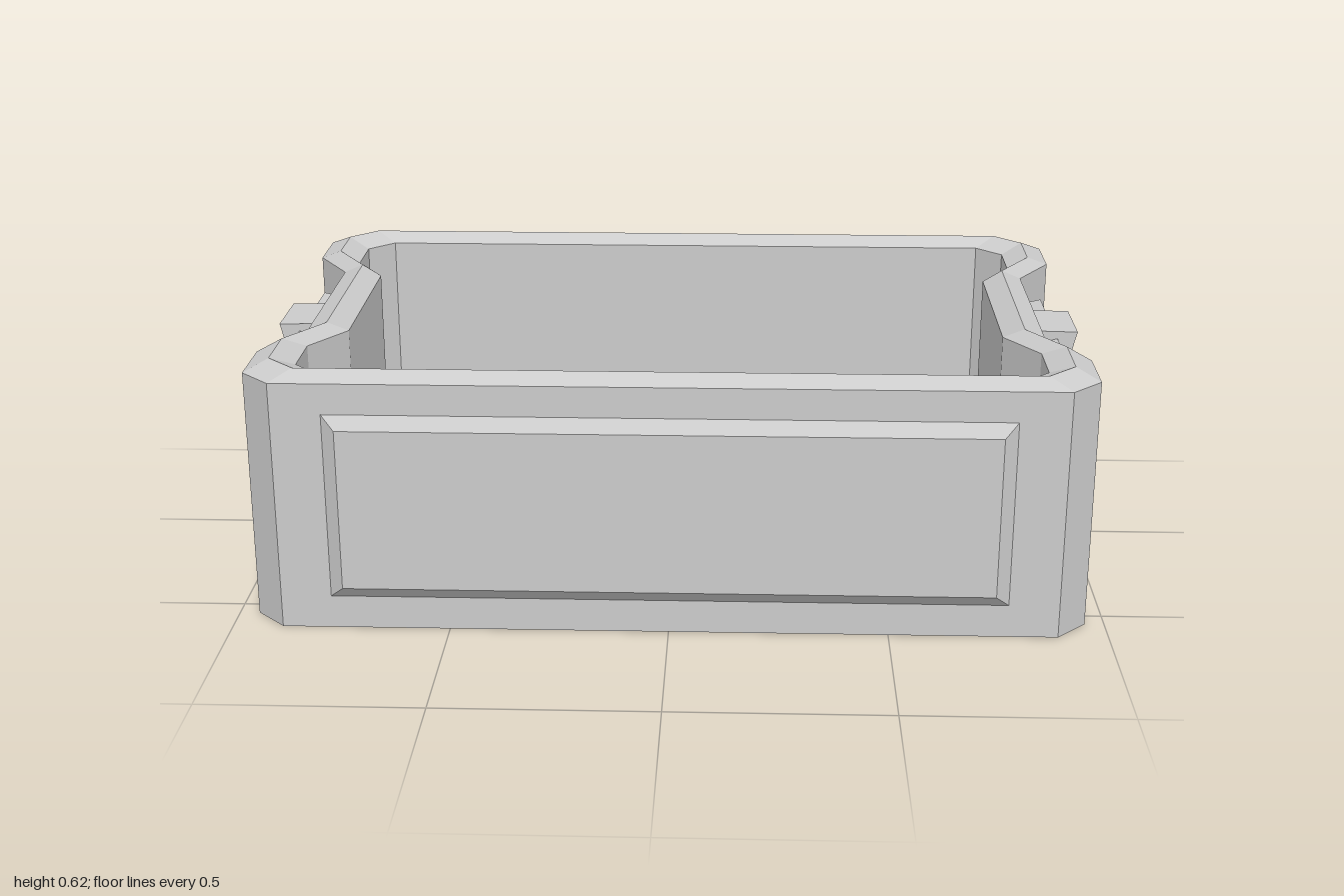
import * as THREE from 'three';

const material = new THREE.MeshStandardMaterial({ color: 0xcccccc, flatShading: true });

// Skin a stack of outlines (counter-clockwise in xy, each at height z) and close both ends.
function loft(rings) {
  const pos = [];
  const n = rings[0].pts.length;
  const at = (r, i) => [...r.pts[i % n], r.z];
  const tri = (a, b, c) => pos.push(...a, ...b, ...c);
  for (let k = 0; k < rings.length - 1; k++) {
    for (let i = 0; i < n; i++) {
      const a = at(rings[k], i), b = at(rings[k], i + 1);
      const c = at(rings[k + 1], i + 1), d = at(rings[k + 1], i);
      tri(a, b, c);
      tri(a, c, d);
    }
  }
  const first = rings[0], last = rings[rings.length - 1];
  for (let i = 0; i < n; i++) {
    tri([0, 0, first.z], at(first, i + 1), at(first, i));
    tri([0, 0, last.z], at(last, i), at(last, i + 1));
  }
  const geo = new THREE.BufferGeometry();
  geo.setAttribute('position', new THREE.Float32BufferAttribute(pos, 3));
  geo.computeVertexNormals();
  return geo;
}

function addMesh(parent, name, geo) {
  const mesh = new THREE.Mesh(geo, material);
  mesh.name = name;
  parent.add(mesh);
  return mesh;
}

// Open tray with chamfered corners, waisted ends and a ridged rim
function bodyGeometry() {
  const quarter = [[0.87, 0.26], [0.955, 0.395], [0.955, 0.545], [0.885, 0.615]];
  const flipX = quarter.map(([x, y]) => [-x, y]).reverse();
  const half = [...quarter, ...flipX];
  const outline = [...half, ...half.map(([x, y]) => [-x, -y])];
  const ring = (s, z) => ({ pts: outline.map(([x, y]) => [x * s, y * s]), z });
  return loft([
    ring(1, 0), ring(1, 0.59), ring(0.943, 0.615), ring(0.887, 0.59), ring(0.887, 0.08),
  ]).rotateX(-Math.PI / 2);
}

// Raised side panel with bevelled edges
function panelGeometry() {
  const rect = (w, h, z) => ({ pts: [[-w, -h], [w, -h], [w, h], [-w, h]], z });
  return loft([rect(0.77, 0.22, -0.01), rect(0.77, 0.22, 0), rect(0.738, 0.19, 0.025)]);
}

// Flat handle frame with clipped lower corners
function handleGeometry() {
  const thickness = 0.045;
  const side = [[0.19, 0], [0.225, 0.008], [0.24, 0.042], [0.24, 0.33]];
  const points = [...side, ...side.map(([x, y]) => [-x, y]).reverse()];
  const shape = new THREE.Shape(points.map(([x, y]) => new THREE.Vector2(x, y)));
  const hole = [[-0.19, 0.042], [-0.19, 0.288], [0.19, 0.288], [0.19, 0.042]];
  shape.holes.push(new THREE.Path(hole.map(([x, y]) => new THREE.Vector2(x, y))));
  return new THREE.ExtrudeGeometry(shape, { depth: thickness, bevelEnabled: false })
    .translate(0, 0, -thickness);
}

// Wedge-shaped clip that holds the top bar of the handle
function clipGeometry() {
  const profile = [[0.86, 0.345], [0.918, 0.345], [0.97, 0.558], [0.86, 0.56]];
  const shape = new THREE.Shape(profile.map(([x, y]) => new THREE.Vector2(x, y)));
  return new THREE.ExtrudeGeometry(shape, { depth: 0.17, bevelEnabled: false })
    .translate(0, 0, -0.085);
}

export function createModel() {
  const model = new THREE.Group();
  model.name = 'storageTray';
  addMesh(model, 'body', bodyGeometry());

  const panel = panelGeometry(), handle = handleGeometry(), clip = clipGeometry();

  // The second set is the first turned half way round
  ['frontAndLeft', 'backAndRight'].forEach((name, i) => {
    const set = new THREE.Group();
    set.name = name + 'Fittings';
    set.rotation.y = i * Math.PI;

    addMesh(set, 'sidePanel', panel).position.set(0, 0.298, 0.615);

    const frame = addMesh(set, 'handle', handle);
    frame.position.set(1, 0.22, 0);
    frame.rotation.set(0, Math.PI / 2, 0.238, 'ZYX');

    addMesh(set, 'handleClip', clip);
    model.add(set);
  });
  return model;
}
